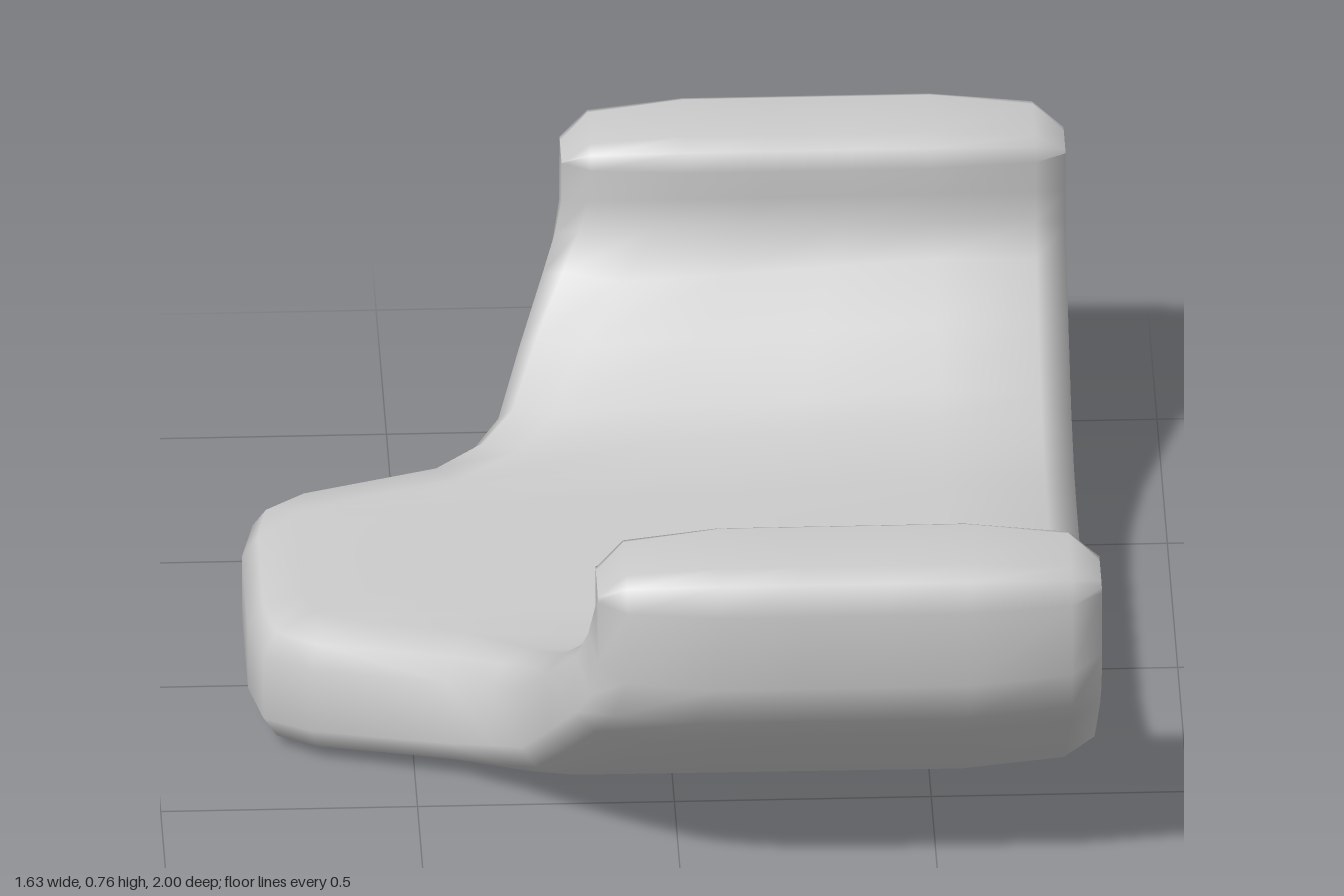
import * as THREE from 'three';

// Half of the bent slab, from the middle to the tip of one wing:
// [inner z, inner y, outer z, outer y, left edge x]
const STATIONS = [
  [0, 0.265, 0, 0, -0.815],
  [0.14, 0.265, 0.15, 0, -0.815],
  [0.26, 0.265, 0.28, 0.004, -0.79],
  [0.33, 0.27, 0.35, 0.014, -0.7],
  [0.40, 0.28, 0.44, 0.03, -0.44],
  [0.455, 0.3, 0.52, 0.07, -0.355],
  [0.525, 0.33, 0.6, 0.11, -0.3],
  [0.63, 0.42, 0.74, 0.225, -0.255],
  [0.73, 0.51, 0.9, 0.36, -0.205],
  [0.752, 0.58, 0.97, 0.43, -0.18],
  [0.755, 0.64, 1.0, 0.52, -0.166],
  [0.75, 0.7, 1.0, 0.68, -0.166],
  [0.756, 0.742, 0.985, 0.742, -0.166],
  [0.79, 0.76, 0.945, 0.76, -0.166],
];
const RIGHT = 0.815;
const LAST = STATIONS.length - 1;
const lerp = THREE.MathUtils.lerp;

// Distance along the middle of the slab at every station
const along = [0];
for (let i = 1; i <= LAST; i++) {
  const [a, b] = [STATIONS[i - 1], STATIONS[i]];
  along.push(along[i - 1] + Math.hypot(b[0] + b[2] - a[0] - a[2], b[1] + b[3] - a[1] - a[3]) / 2);
}

// Point of the bent slab: s along the bend, t from outer (0) to inner (1)
function bend(x, s, t) {
  const side = s < 0 ? -1 : 1;
  const d = Math.min(Math.abs(s), along[LAST]);
  let i = 0;
  while (i < LAST - 1 && along[i + 1] < d) i++;
  const f = (d - along[i]) / (along[i + 1] - along[i]);
  const [zi, yi, zo, yo] = STATIONS[i].map((v, k) => lerp(v, STATIONS[i + 1][k], f));
  const z = side * lerp(zo, zi, t);
  return [x, lerp(yo, yi, t), z - 0.018 * Math.max(0, 1 - z * z)];
}

// Closed cross-section ring at one station
function ring(i, side) {
  const left = STATIONS[i][4];
  const s = along[i];

  // Inward direction of the left outline, square to it around the tongue
  let nx = 1, ns = 0;
  if (i > 0 && i < 9) {
    const dx = STATIONS[i + 1][4] - STATIONS[i - 1][4];
    const ds = along[i + 1] - along[i - 1];
    const len = Math.hypot(dx, ds);
    nx = ds / len;
    ns = -dx / len;
  }
  const wing = THREE.MathUtils.smoothstep(i, 6, 11);
  const a = lerp(0.03, 0.055, wing);
  const b = lerp(0.115, 0.24, wing);
  // Corners of the wing tips sink to round off the end
  const dropEdge = i === LAST ? 0.065 : i === LAST - 1 ? 0.05 : 0;
  const dropNear = i === LAST ? 0.018 : i === LAST - 1 ? 0.012 : 0;

  const inset = (d, t, drop) => [left + nx * d, s + ns * d, t, drop];
  const l = inset(b, 0, 0);
  const r = [RIGHT - 0.26, s, 0, 0];
  const mid = [1 / 3, 2 / 3].map((f) => l.map((v, k) => lerp(v, r[k], f)));
  const chain = [
    inset(0, 0.25, dropEdge), inset(a, 0.08, dropNear), l, ...mid, r,
    [RIGHT - 0.06, s, 0.08, dropNear], [RIGHT, s, 0.25, dropEdge],
  ];
  const upper = chain.map(([x, q, t, drop]) => [x, q, 1 - t, drop]).reverse();
  return [...chain, ...upper].map(([x, q, t, drop]) => {
    const p = bend(x, side * q, t);
    p[1] -= drop;
    return p;
  });
}

// Skin the rings from the back wing to the front wing and close both tips
function slabGeometry() {
  const rings = [];
  for (let i = -LAST; i <= LAST; i++) rings.push(ring(Math.abs(i), i < 0 ? -1 : 1));
  const n = rings[0].length;
  const index = [];
  const quad = (a, b, c, d) => index.push(a, b, c, a, c, d);

  for (let r = 0; r < rings.length - 1; r++) {
    for (let k = 0; k < n; k++) {
      const k2 = (k + 1) % n;
      quad(r * n + k, r * n + k2, (r + 1) * n + k2, (r + 1) * n + k);
    }
  }
  const end = (rings.length - 1) * n;
  for (let k = 0; k < n / 2 - 1; k++) {
    quad(end + k, end + k + 1, end + n - 2 - k, end + n - 1 - k);
    quad(n - 1 - k, n - 2 - k, k + 1, k);
  }

  const geometry = new THREE.BufferGeometry();
  geometry.setAttribute('position', new THREE.Float32BufferAttribute(rings.flat(2), 3));
  geometry.setIndex(index);
  geometry.computeVertexNormals();
  return geometry;
}

export function createModel() {
  const group = new THREE.Group();
  group.name = 'curvedCradle';
  const slab = new THREE.Mesh(slabGeometry(), new THREE.MeshStandardMaterial({ color: 0xcccccc }));
  slab.name = 'bentSlabWithTongue';
  group.add(slab);
  return group;
}
